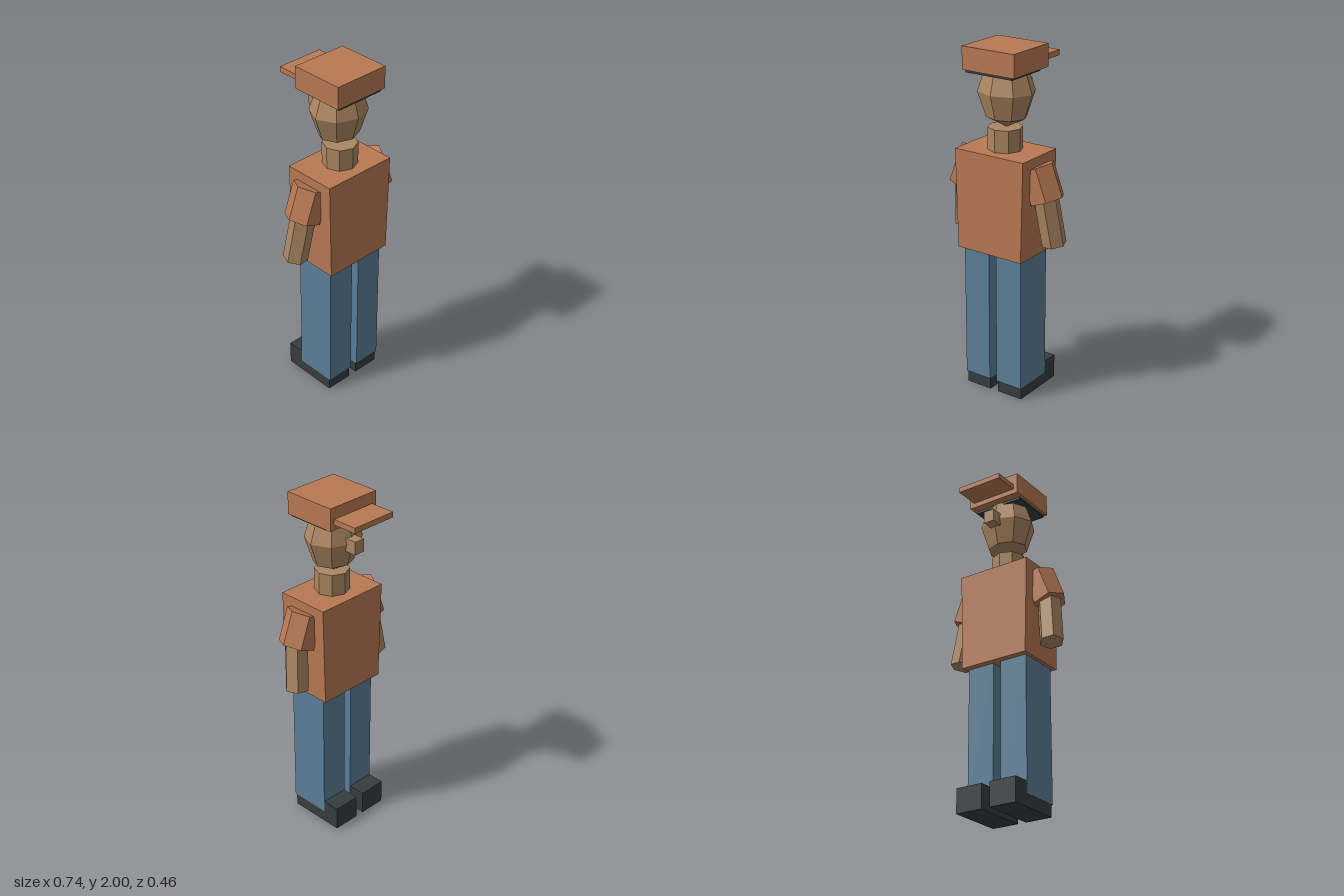
import * as THREE from 'three';

const mat = (name, color) => {
  const m = new THREE.MeshStandardMaterial({ color, flatShading: true });
  m.name = name;
  return m;
};

export function createModel() {
  const cloth = mat('rust cloth', 0xb87953);
  const skin = mat('skin', 0xac8762);
  const denim = mat('blue denim', 0x5b7f98);
  const dark = mat('dark leather', 0x363d3d);
  const model = new THREE.Group();
  model.name = 'cappedFigure';

  const add = (name, geometry, material) => {
    const mesh = new THREE.Mesh(geometry, material);
    mesh.name = name;
    model.add(mesh);
    return mesh;
  };

  // Box given by its limits on each axis
  const box = (name, [x0, x1], [y0, y1], [z0, z1], material) => {
    const mesh = add(name, new THREE.BoxGeometry(x1 - x0, y1 - y0, z1 - z0), material);
    mesh.position.set((x0 + x1) / 2, (y0 + y1) / 2, (z0 + z1) / 2);
    return mesh;
  };

  // Six-sided limb segment between two points, with a corner turned outwards
  const limb = (name, top, bottom, radius, yaw, material) => {
    const axis = top.clone().sub(bottom);
    const geometry = new THREE.CylinderGeometry(radius, radius, axis.length(), 6);
    geometry.rotateY(Math.PI / 6 + yaw);
    const mesh = add(name, geometry, material);
    mesh.position.copy(top).add(bottom).multiplyScalar(0.5);
    mesh.quaternion.setFromUnitVectors(new THREE.Vector3(0, 1, 0), axis.normalize());
  };

  // Torso, slightly narrower at the hem
  const torso = box('torso', [-0.224, 0.224], [0.857, 1.43], [-0.083, 0.23], cloth);
  const p = torso.geometry.attributes.position;
  for (let i = 0; i < p.count; i++) if (p.getY(i) < 0) p.setX(i, p.getX(i) * 0.94);

  // Neck and head
  add('neck', new THREE.CylinderGeometry(0.097, 0.097, 0.14, 8), skin).position.set(0, 1.485, 0.075);
  const head = add('head', new THREE.SphereGeometry(1, 8, 4), skin);
  head.scale.set(0.166, 0.2, 0.146);
  head.position.set(0, 1.75, 0.064);
  box('nose', [-0.033, 0.033], [1.71, 1.785], [-0.13, -0.06], skin);

  // Cap with brim and the hair beneath it
  box('hair', [-0.15, 0.15], [1.859, 1.88], [-0.035, 0.222], dark);
  box('cap', [-0.167, 0.167], [1.873, 2], [-0.084, 0.231], cloth);
  box('capBrim', [-0.14, 0.14], [1.903, 1.934], [-0.231, -0.08], cloth);

  for (const s of [-1, 1]) {
    const side = s > 0 ? 'left' : 'right';
    const v = (x, y, z) => new THREE.Vector3(s * x, y, z);
    // Arm
    limb(side + 'Sleeve', v(0.208, 1.369, 0.072), v(0.276, 1.189, 0.072), 0.1, 0, cloth);
    limb(side + 'Forearm', v(0.271, 1.2, 0.075), v(0.303, 0.933, 0.043), 0.069, -s * 0.175, skin);
    // Leg and shoe
    const span = (a, b) => (s > 0 ? [a, b] : [-b, -a]);
    box(side + 'Leg', span(0.024, 0.19), [0.07, 0.86], [-0.045, 0.2], denim);
    box(side + 'Shoe', span(0.026, 0.188), [0, 0.14], [-0.147, 0.19], dark);
  }
  return model;
}
